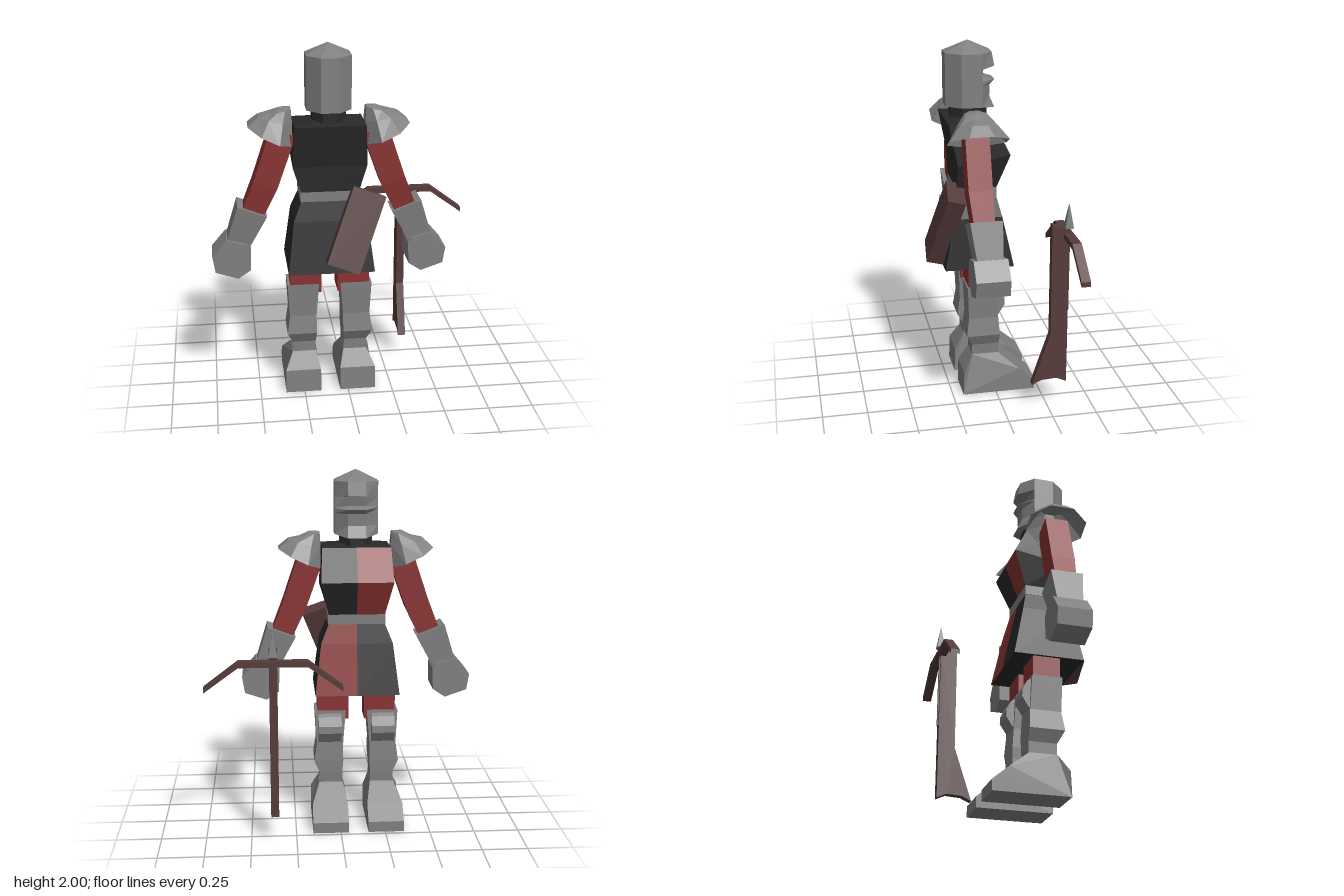
import * as THREE from 'three';

const mat = (name, color, side = THREE.FrontSide) =>
  Object.assign(new THREE.MeshStandardMaterial({ color, flatShading: true, side }), { name });

// Skin through rings listed bottom to top (counter-clockwise from above), closed with fans.
// pick(side) chooses a material index; lift raises the top fan's centre.
function loft(rings, { lift = 0, pick = () => 0, caps = true } = {}) {
  const pos = [], geo = new THREE.BufferGeometry(), n = rings[0].length;
  const add = (index, ...pts) => {
    geo.addGroup(pos.length / 3, pts.length, index);
    pts.forEach(p => pos.push(...p));
  };
  for (let r = 0; r + 1 < rings.length; r++)
    for (let i = 0; i < n; i++) {
      const j = (i + 1) % n, a = rings[r], b = rings[r + 1];
      add(pick(i), a[i], a[j], b[j], a[i], b[j], b[i]);
    }
  const centre = ring => [0, 1, 2].map(k => ring.reduce((s, p) => s + p[k], 0) / n);
  const low = rings[0], top = rings[rings.length - 1], c0 = centre(low), c1 = centre(top);
  c1[1] += lift;
  for (let i = 0; i < n; i++) {
    const j = (i + 1) % n;
    if (caps) add(0, low[j], low[i], c0);
    add(0, top[i], top[j], c1);
  }
  geo.setAttribute('position', new THREE.Float32BufferAttribute(pos, 3));
  geo.computeVertexNormals();
  return geo;
}

const rect = (y, x0, x1, front, back) => [[x1, y, back], [x1, y, front], [x0, y, front], [x0, y, back]];

// Torso ring with a seam down the middle of the front
const bodyRing = (y, w, front, back, yFront = y) =>
  [[w, y, back], [w, yFront, front], [0, yFront, front], [-w, yFront, front], [-w, y, back]];

// Rectangular limb section tilted with the arm
function armRing(cx, cy, w, front, back) {
  const dx = 0.465 * w, dy = 0.18 * w;
  const o = [cx + dx, cy + dy], i = [cx - dx, cy - dy];
  return [[...o, back], [...o, front], [...i, front], [...i, back]];
}

// Ellipse ring whose height leans outwards
const ovalRing = (cx, y, rx, rz, lean, n = 8, cz = 0.11) => Array.from({ length: n }, (_, i) => {
  const a = (i + 0.5) / n * Math.PI * 2;
  return [cx + rx * Math.cos(a) * 1.08, y + lean * Math.cos(a), cz - rz * Math.sin(a) * 1.08];
});

function extrude(points, depth) {
  const shape = new THREE.Shape(points.map(p => new THREE.Vector2(...p)));
  return new THREE.ExtrudeGeometry(shape, { depth, bevelEnabled: false });
}

// Side profile [z, y] extruded across x
const sideExtrude = (profile, x0, x1) =>
  extrude(profile, x1 - x0).rotateY(-Math.PI / 2).translate(x1, 0, 0);

// Mirrored copy across x with the corner order corrected
function mirror(source) {
  const g = source.index ? source.toNonIndexed() : source.clone();
  const p = g.attributes.position;
  for (let i = 0; i < p.count; i += 3) {
    const t = [0, 2, 1].map(k => [-p.getX(i + k), p.getY(i + k), p.getZ(i + k)]);
    t.forEach((v, k) => p.setXYZ(i + k, ...v));
  }
  g.computeVertexNormals();
  return g;
}

export function createModel() {
  const model = new THREE.Group();
  const body = new THREE.Group();
  body.name = 'knight';
  body.position.x = -0.1;
  model.add(body);

  const steel = mat('steel grey', 0x808080), red = mat('cloth red', 0x883232);
  const plate = mat('shoulder steel', 0x808080, THREE.DoubleSide);
  const black = mat('cloth black', 0x282828), wood = mat('dark wood', 0x553b3b);
  const tip = mat('bolt steel', 0x727a7a);

  const part = (name, geo, material, parent = body) => {
    const m = new THREE.Mesh(geo, material);
    m.name = name;
    parent.add(m);
    return m;
  };
  const pair = (name, geo, material) => {
    part(name + 'Left', geo, material);
    part(name + 'Right', mirror(geo), material);
  };

  // Helmet: octagon whose front face steps in for the eyes and out for the chin
  const helmet = [[1.65, -0.03], [1.70, -0.002], [1.765, -0.005], [1.79, -0.03],
    [1.803, 0.04], [1.855, 0.03], [1.862, -0.03], [1.94, -0.015]].map(([y, front]) => {
    const ring = ovalRing(0, y, 0.12, 0.135, 0, 8, 0.105);
    ring[1][2] = ring[2][2] = front;
    if (y === 1.65) ring[1][1] = ring[2][1] = 1.635;
    return ring;
  });
  part('helmet', loft(helmet, { lift: 0.06 }), steel);
  part('neck', loft([ovalRing(0, 1.57, 0.09, 0.1, 0), ovalRing(0, 1.67, 0.09, 0.1, 0)]), black);

  // Quartered tunic, belt and skirt
  part('chest', loft([
    bodyRing(1.21, 0.157, -0.02, 0.2),
    bodyRing(1.35, 0.2, -0.09, 0.2, 1.4),
    bodyRing(1.58, 0.19, 0.0, 0.245),
  ], { lift: 0.03, pick: i => (i === 2 ? 1 : 0) }), [black, red]);
  part('belt', loft([rect(1.155, -0.16, 0.16, -0.02, 0.2), rect(1.21, -0.16, 0.16, -0.02, 0.2)]), steel);
  part('skirt', loft([
    bodyRing(0.765, 0.235, -0.105, 0.28),
    bodyRing(1.05, 0.2, -0.045, 0.225),
    bodyRing(1.155, 0.157, -0.02, 0.2),
  ], { pick: i => (i === 1 ? 1 : 0) }), [black, red]);

  // Flared shoulder caps
  pair('shoulderPlate', loft([
    ovalRing(0.315, 1.515, 0.115, 0.16, 0.06),
    ovalRing(0.285, 1.6, 0.09, 0.1, 0.02),
    ovalRing(0.255, 1.645, 0.055, 0.06, -0.012),
  ], { lift: 0.018, caps: false }), plate);

  // Arms, cuffs and fists
  pair('arm', loft([
    armRing(0.415, 1.09, 0.12, 0.05, 0.165),
    armRing(0.345, 1.25, 0.135, 0.05, 0.18),
    armRing(0.245, 1.54, 0.14, 0.05, 0.18),
  ]), red);
  pair('cuff', loft([
    armRing(0.5, 0.915, 0.13, 0.025, 0.165),
    armRing(0.42, 1.105, 0.17, 0.015, 0.19),
  ]), steel);
  pair('fist', extrude([[0.453, 0.915], [0.432, 0.889], [0.437, 0.767], [0.506, 0.72],
    [0.628, 0.762], [0.643, 0.852], [0.564, 0.945]], 0.185), steel);

  // Legs, knee plates and boots
  pair('thigh', loft([rect(0.6, 0.045, 0.22, 0, 0.15), rect(0.85, 0.045, 0.22, 0, 0.15)]), red);
  pair('greave', loft([
    rect(0.2, 0.08, 0.205, -0.02, 0.13),
    rect(0.29, 0.08, 0.21, -0.025, 0.13),
    rect(0.355, 0.075, 0.24, -0.025, 0.165),
    rect(0.46, 0.075, 0.225, -0.018, 0.15),
    rect(0.65, 0.06, 0.235, -0.008, 0.157),
  ]), steel);
  pair('kneePlate', sideExtrude([[0, 0.64], [0, 0.46], [-0.02, 0.47], [-0.058, 0.53],
    [-0.055, 0.57], [-0.03, 0.62]], 0.085, 0.215), steel);
  const boot = sideExtrude([[0.19, 0], [0.185, 0.135], [0.13, 0.23], [-0.02, 0.23],
    [-0.135, 0.135], [-0.225, 0.06], [-0.225, 0]], 0.055, 0.255);
  const bp = boot.attributes.position;
  for (let i = 0; i < bp.count; i++)
    if (bp.getY(i) > 0.2) bp.setX(i, 0.145 + (bp.getX(i) - 0.155) * 0.66);
  boot.computeVertexNormals();
  pair('boot', boot, steel);

  // Slanted quiver on the back of the hip
  const quiver = part('quiver', new THREE.BoxGeometry(0.185, 0.44, 0.1), wood, model);
  quiver.position.set(0.03, 1.01, 0.265);
  quiver.rotation.set(-0.25, 0, -0.36);

  // Crossbow held upright
  const crossbow = new THREE.Group();
  crossbow.name = 'crossbow';
  crossbow.position.x = 0.368;
  model.add(crossbow);
  part('stock', sideExtrude([[-0.255, 1.085], [-0.255, 0.45], [-0.155, 0.15], [-0.21, 0.175],
    [-0.295, 0.18], [-0.35, 0.155], [-0.35, 1.06]], -0.022, 0.022), wood, crossbow);
  part('bow', extrude([[-0.37, 0.87], [-0.185, 1.005], [0.185, 1.005], [0.37, 0.87],
    [0.37, 0.897], [0.185, 1.037], [-0.185, 1.037], [-0.37, 0.897]], 0.05).translate(0, 0, -0.37), wood, crossbow);
  const shaft = part('boltShaft', new THREE.BoxGeometry(0.014, 0.48, 0.012), wood, crossbow);
  shaft.position.set(0, 0.82, -0.351);
  const head = part('boltHead', new THREE.ConeGeometry(0.033, 0.14, 4).rotateY(Math.PI / 4), tip, crossbow);
  head.position.set(0, 1.13, -0.35);

  return model;
}
